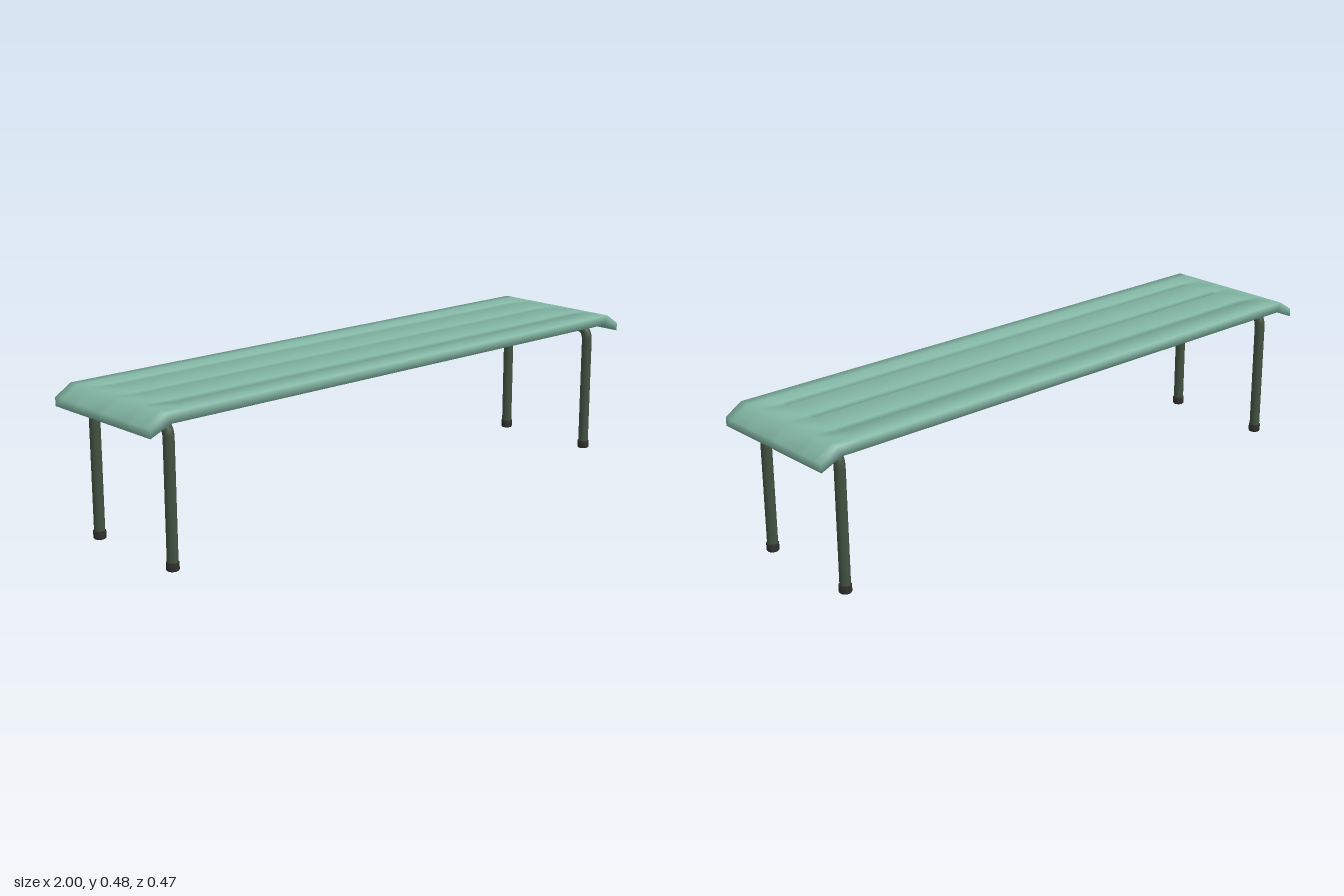
import * as THREE from 'three';

const seatMat = new THREE.MeshStandardMaterial({ color: 0x82b5a3 });
const frameMat = new THREE.MeshStandardMaterial({ color: 0x415241 });
const footMat = new THREE.MeshStandardMaterial({ color: 0x302f2e });

function addMesh(parent, name, geometry, material, x = 0, y = 0, z = 0) {
  const mesh = new THREE.Mesh(geometry, material);
  mesh.name = name;
  mesh.position.set(x, y, z);
  parent.add(mesh);
  return mesh;
}

const mirrored = (half) => [...half.map((v) => -v).reverse(), ...half];

// Slab on a grid of stations: ends bent down, three slots left open, shared smooth normals
function seatGeometry() {
  const topX = mirrored([0.865, 0.945, 1]);
  const bottomX = mirrored([0.865, 0.93, 1]);
  const topY = [0.48, 0.48, 0.445], bottomY = [0.448, 0.448, 0.418];
  const zs = mirrored([0.014, 0.119, 0.147, 0.2, 0.235]);
  const nx = topX.length, nz = zs.length;
  const positions = [], index = [];

  for (let side = 0; side < 2; side++) {
    for (let i = 0; i < nx; i++) {
      const station = Math.max(i - 3, 2 - i);
      for (const z of zs) {
        positions.push((side ? bottomX : topX)[i], (side ? bottomY : topY)[station], z);
      }
    }
  }

  const id = ([i, j], side) => (side * nx + i) * nz + j;
  const quad = (a, b, c, d) => index.push(a, b, c, a, c, d);
  const isSlot = (i, j) => i === 2 && [2, 4, 6].includes(j);
  const solid = (i, j) => i >= 0 && j >= 0 && i < nx - 1 && j < nz - 1 && !isSlot(i, j);

  for (let i = 0; i < nx - 1; i++) {
    for (let j = 0; j < nz - 1; j++) {
      if (!solid(i, j)) continue;
      const c = [[i, j], [i, j + 1], [i + 1, j + 1], [i + 1, j]];
      quad(...c.map((p) => id(p, 0)));
      quad(...c.map((p) => id(p, 1)).reverse());
      // Walls along the outer rim and around the slots
      [[-1, 0], [0, 1], [1, 0], [0, -1]].forEach(([di, dj], k) => {
        if (solid(i + di, j + dj)) return;
        const a = c[k], b = c[(k + 1) % 4];
        quad(id(b, 0), id(a, 0), id(a, 1), id(b, 1));
      });
    }
  }

  const geometry = new THREE.BufferGeometry();
  geometry.setAttribute('position', new THREE.Float32BufferAttribute(positions, 3));
  geometry.setIndex(index);
  geometry.computeVertexNormals();
  return geometry;
}

// Bent tube: two legs joined by a crossbar
function legFrameGeometry() {
  const z = 0.183, top = 0.433, bend = 0.042;
  const v = (y, zz) => new THREE.Vector3(0, y, zz);
  const path = new THREE.CurvePath();
  path.add(new THREE.LineCurve3(v(0.01, z), v(top - bend, z)));
  path.add(new THREE.QuadraticBezierCurve3(v(top - bend, z), v(top, z), v(top, z - bend)));
  path.add(new THREE.LineCurve3(v(top, z - bend), v(top, bend - z)));
  path.add(new THREE.QuadraticBezierCurve3(v(top, bend - z), v(top, -z), v(top - bend, -z)));
  path.add(new THREE.LineCurve3(v(top - bend, -z), v(0.01, -z)));
  return new THREE.TubeGeometry(path, 120, 0.017, 16);
}

export function createModel() {
  const bench = new THREE.Group();
  bench.name = 'bench';
  addMesh(bench, 'seat', seatGeometry(), seatMat);

  // End frames with rubber feet
  const frameGeo = legFrameGeometry();
  const footGeo = new THREE.LatheGeometry(
    [[0, 0], [0.017, 0], [0.0195, 0.003], [0.0195, 0.025], [0.0165, 0.026]]
      .map(([r, y]) => new THREE.Vector2(r, y)), 20);
  for (const side of [1, -1]) {
    const end = new THREE.Group();
    end.name = side > 0 ? 'leftLegs' : 'rightLegs';
    end.position.x = side * 0.902;
    addMesh(end, 'legFrame', frameGeo, frameMat);
    for (const z of [0.183, -0.183]) addMesh(end, 'foot', footGeo, footMat, 0, 0, z);
    bench.add(end);
  }

  // Long rails under the slats
  const railGeo = new THREE.BoxGeometry(1.8, 0.028, 0.03);
  for (const z of [0.067, -0.067]) addMesh(bench, 'rail', railGeo, frameMat, 0, 0.434, z);

  return bench;
}
